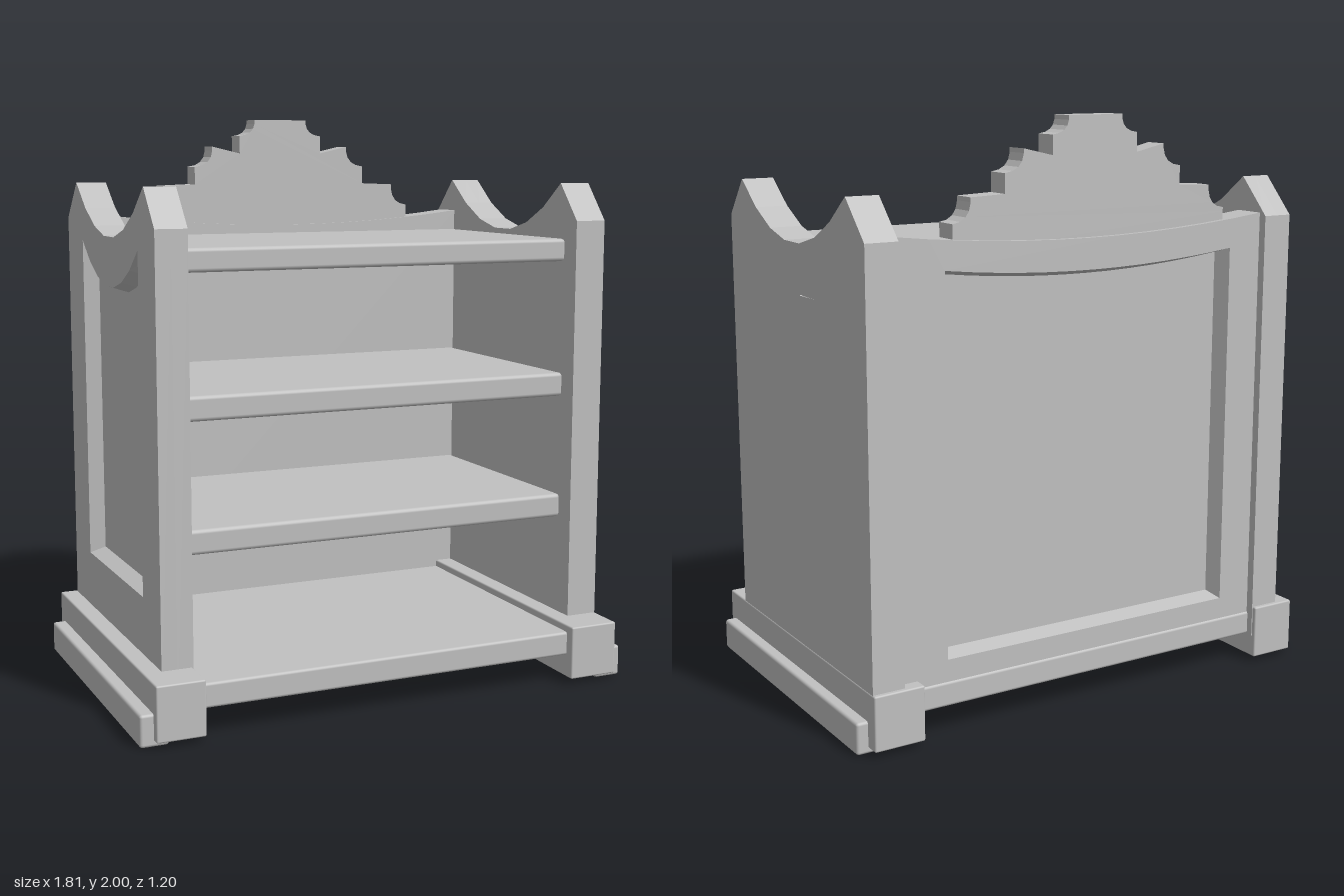
import * as THREE from 'three';
import { RoundedBoxGeometry } from 'three/addons/geometries/RoundedBoxGeometry.js';

const stone = new THREE.MeshStandardMaterial({ color: 0xc0c0c0 });
stone.name = 'pale grey';

function add(parent, geometry, name) {
  const mesh = new THREE.Mesh(geometry, stone);
  mesh.name = name;
  parent.add(mesh);
  return mesh;
}

// Softly rounded board given by its limits on each axis
function board(parent, name, [x0, x1], [y0, y1], [z0, z1], radius = 0.01) {
  const geometry = new RoundedBoxGeometry(x1 - x0, y1 - y0, z1 - z0, 2, radius);
  add(parent, geometry, name).position.set((x0 + x1) / 2, (y0 + y1) / 2, (z0 + z1) / 2);
}

const toShape = (points, sign = 1, Type = THREE.Shape) =>
  new Type(points.map(([a, b]) => new THREE.Vector2(a * sign, b)));

// Panel with a sunken field on its local +z face; the recess walls taper inward
function sunkenPanel(name, outline, hole, sign, thickness, depth) {
  const group = new THREE.Group();
  group.name = name;
  const floor = thickness - depth;
  const backing = new THREE.ExtrudeGeometry(toShape(outline, sign), { depth: floor, bevelEnabled: false });
  add(group, backing, name + 'Field');

  const shape = toShape(outline, sign);
  shape.holes.push(toShape(hole, sign, THREE.Path));
  const frame = new THREE.ExtrudeGeometry(shape, { depth, bevelEnabled: false });
  const box = new THREE.Box2().setFromPoints(shape.holes[0].getPoints());
  const middle = box.getCenter(new THREE.Vector2());
  const p = frame.attributes.position;
  for (let i = 0; i < p.count; i++) {
    const x = p.getX(i), y = p.getY(i);
    const onHole = y > box.min.y - 0.005 && y < box.max.y + 0.005;
    if (onHole && p.getZ(i) < 0.001) {
      p.setXY(i, x + (middle.x - x) * 0.04, y + (y < middle.y ? 0.02 : -0.018));
    }
  }
  frame.computeVertexNormals();
  add(group, frame, name + 'Frame').position.z = floor;
  return group;
}

// Points on a sagging curve from a to b, dipping to height low
function sag(a, b, high, low, steps) {
  const points = [];
  for (let i = 0; i <= steps; i++) {
    const t = i / steps;
    points.push([a + (b - a) * t, high - (high - low) * 4 * t * (1 - t)]);
  }
  return points;
}

export function createModel() {
  const model = new THREE.Group();
  model.name = 'shelfUnit';

  // Side walls, listed as z and y
  const sideOutline = [
    [0.46, 0.1], [0.46, 1.64], ...sag(0.35, -0.46, 1.77, 1.59, 7), [-0.585, 1.64], [-0.585, 0.1],
  ];
  const sideHole = [[0.27, 0.41], ...sag(0.28, -0.39, 1.565, 1.42, 7), [-0.385, 0.41]];
  for (const [s, inner, outer] of [[1, 0.745, 0.86], [-1, 0.69, 0.8]]) {
    const wall = sunkenPanel(s > 0 ? 'leftWall' : 'rightWall', sideOutline, sideHole, -s, outer - inner, 0.055);
    wall.rotation.y = s * Math.PI / 2;
    wall.position.x = s * inner;
    model.add(wall);
  }

  // Back wall, listed as x and y
  const backOutline = [[-0.69, 0.17], ...sag(-0.69, 0.745, 1.65, 1.605, 12), [0.745, 0.17]];
  const backHole = [[-0.56, 0.26], ...sag(-0.56, 0.57, 1.535, 1.5, 12), [0.57, 0.26]];
  const back = sunkenPanel('backWall', backOutline, backHole, -1, 0.115, 0.055);
  back.rotation.y = Math.PI;
  back.position.z = -0.44;
  model.add(back);

  // Stepped crest with a hollow scallop at every step
  const crest = new THREE.Shape();
  const steps = [[0.54, 1.675, 0.475, 1.755], [0.35, 1.825, 0.28, 1.9], [0.17, 1.94, 0.11, 2]];
  crest.moveTo(-0.54, 1.58);
  for (const [x0, y0, x1, y1] of steps) {
    crest.lineTo(-x0, y1 - 0.14 < 1.65 ? 1.66 : y0 - 0.065);
    crest.lineTo(-x0, y0);
    crest.quadraticCurveTo(-x1 - 0.005, y0 + 0.005, -x1, y1 - 0.015);
    crest.lineTo(-x1, y1);
  }
  for (const [x0, y0, x1, y1] of [...steps].reverse()) {
    crest.lineTo(x1 - 0.01, y1);
    crest.lineTo(x1 - 0.01, y1 - 0.015);
    crest.quadraticCurveTo(x1 - 0.005, y0 + 0.005, x0 - 0.01, y0);
    crest.lineTo(x0 - 0.01, y0 > 1.7 ? y0 - 0.065 : 1.58);
  }
  const crestGeometry = new THREE.ExtrudeGeometry(crest, { depth: 0.085, bevelEnabled: false, curveSegments: 4 });
  add(model, crestGeometry, 'crest').position.z = -0.535;

  // Shelves and floor
  [[0.565, 0.65], [1.01, 1.095], [1.495, 1.575]].forEach((y, i) =>
    board(model, 'shelf' + (i + 1), [-0.68, 0.747], y, [-0.45, 0.39], 0.014));
  board(model, 'floor', [-0.7, 0.75], [0.1, 0.185], [-0.56, 0.56]);

  // Plinth rails and the lower outer skirts
  board(model, 'leftPlinth', [0.68, 0.862], [0.02, 0.21], [-0.6, 0.595], 0.006);
  board(model, 'rightPlinth', [-0.862, -0.693], [0.02, 0.21], [-0.6, 0.595], 0.006);
  board(model, 'leftSkirt', [0.8, 0.902], [0, 0.11], [-0.55, 0.565]);
  board(model, 'rightSkirt', [-0.908, -0.81], [0, 0.11], [-0.55, 0.565]);

  return model;
}
